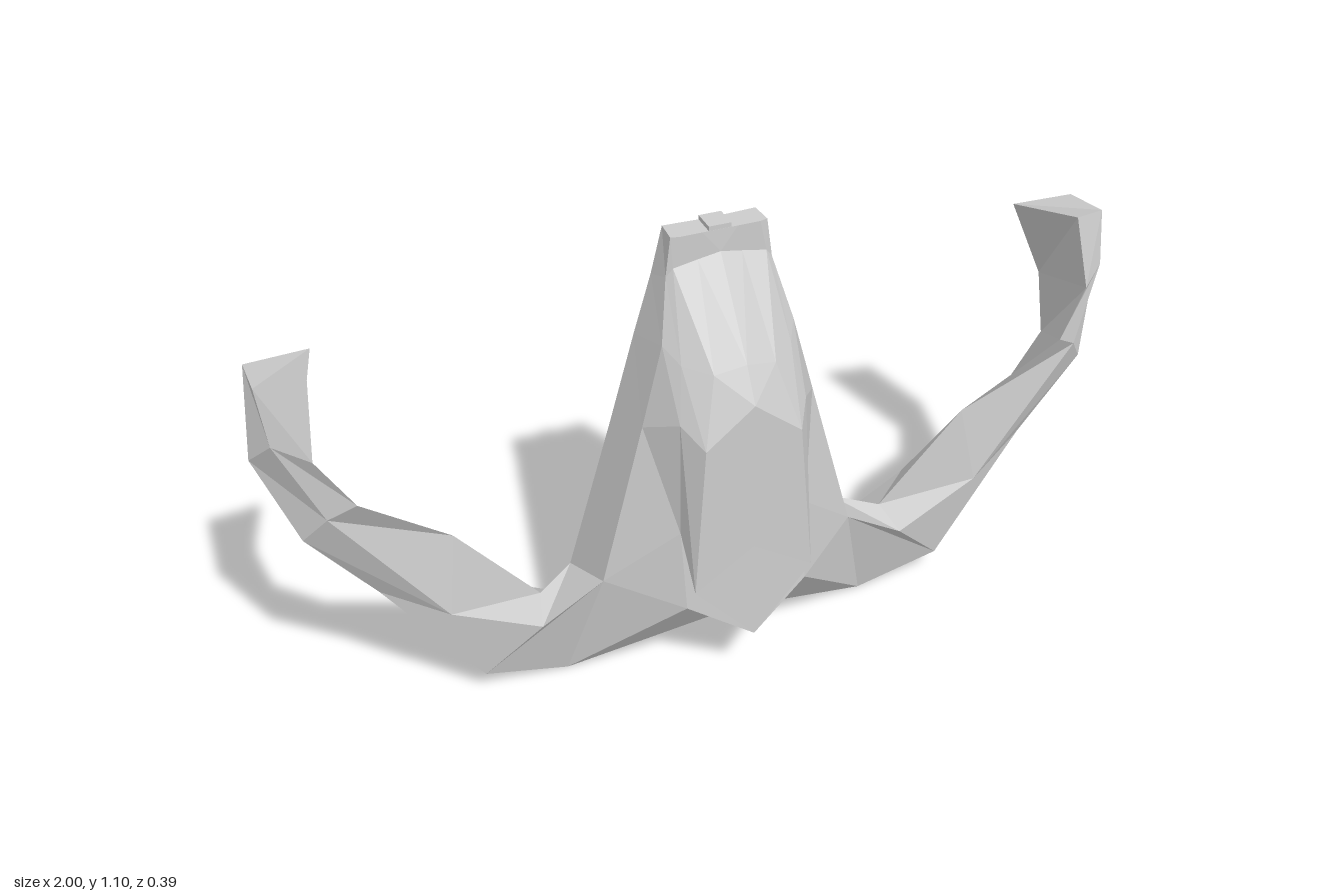
import * as THREE from 'three';

const material = new THREE.MeshStandardMaterial({ color: 0xcccccc, flatShading: true, side: THREE.DoubleSide });

// Mesh from triangles of [x, y, z] corners; side = -1 mirrors it across x
function facetMesh(name, triangles, side) {
  const pos = [];
  for (const [a, b, c] of triangles) {
    for (const p of side > 0 ? [a, b, c] : [a, c, b]) pos.push(p[0] * side, p[1], p[2]);
  }
  const geo = new THREE.BufferGeometry();
  geo.setAttribute('position', new THREE.Float32BufferAttribute(pos, 3));
  geo.computeVertexNormals();
  const mesh = new THREE.Mesh(geo, material);
  mesh.name = name;
  return mesh;
}

// Skin between cross-sections listed from bottom to top
function loft(rows, closed) {
  const tris = [];
  for (let r = 0; r < rows.length - 1; r++) {
    const lo = rows[r], hi = rows[r + 1], n = lo.length;
    for (let i = 0; i < (closed ? n : n - 1); i++) {
      const j = (i + 1) % n;
      tris.push([lo[i], lo[j], hi[j]], [lo[i], hi[j], hi[i]]);
    }
  }
  return tris;
}

function fan(row) {
  return row.slice(2).map((p, i) => [row[0], row[i + 1], p]);
}

// Half of the body, each row running from front centre round to back centre
function bodyTriangles() {
  const rows = [
    [[0, .155, .2], [0, .155, .2], [.145, .24, .155], [.38, 0, -.02], [.24, .1, -.1], [0, .13, -.09]],
    [[0, .4, .192], [.14, .31, .194], [.15, .44, .135], [.305, .29, .05], [.335, .24, -.1], [0, .37, -.08]],
    [[0, .77, .19], [.11, .68, .188], [.145, .72, .13], [.2, .68, .048], [.23, .62, -.08], [0, .65, -.075]],
    [[0, .845, .145], [.07, .83, .135], [.125, .84, .09], [.15, .87, .045], [.17, .84, -.072], [0, .84, -.07]],
    [[0, 1.04, .003], [.05, 1.03, 0], [.105, 1.02, 0], [.12, 1, -.005], [.13, .98, -.066], [0, 1, -.065]],
    [[0, 1.09, 0], [.04, 1.09, 0], [.09, 1.09, 0], [.108, 1.09, -.005], [.105, 1.09, -.06], [0, 1.09, -.055]],
  ];
  const [, chin, cheek, hip, corner, back] = rows[0];
  const chinBack = [0, .155, .16], mid = [0, .14, .085];
  return [...loft(rows, false), ...fan(rows[5]), [chin, chinBack, cheek], [chinBack, mid, cheek],
    [cheek, mid, hip], [hip, mid, corner], [corner, mid, back]];
}

// Curved arm: sections of front ridge, outer edge, back edge and upper inner edge
function armTriangles() {
  const rows = [
    [[.305, .29, .05], [.38, 0, -.02], [.24, .1, -.1], [.335, .24, -.1]],
    [[.45, .2, .045], [.58, .065, 0], [.55, .23, -.14], [.43, .235, -.03]],
    [[.65, .295, .035], [.79, .37, -.01], [.79, .38, -.13], [.62, .48, 0]],
    [[.88, .63, .045], [.93, .56, 0], [.9, .565, -.12], [.82, .67, .073]],
    [[.96, .8, -.005], [1, .73, -.08], [.9, .71, -.16], [.89, .78, .05]],
    [[.97, .92, -.04], [.97, .9, -.17], [.83, .89, -.195], [.87, .945, .01]],
  ];
  return [...loft(rows, true), ...fan(rows[5])];
}

export function createModel() {
  const group = new THREE.Group();
  const body = new THREE.Group();
  body.name = 'body';
  group.add(body);
  for (const [word, side] of [['left', 1], ['right', -1]]) {
    body.add(facetMesh(word + 'BodyHalf', bodyTriangles(), side));
    group.add(facetMesh(word + 'Arm', armTriangles(), side));
  }
  // Small raised block on the flat top
  const knob = new THREE.Mesh(new THREE.BoxGeometry(.05, .03, .055), material);
  knob.position.set(0, 1.085, -.028);
  knob.name = 'topKnob';
  group.add(knob);
  return group;
}
